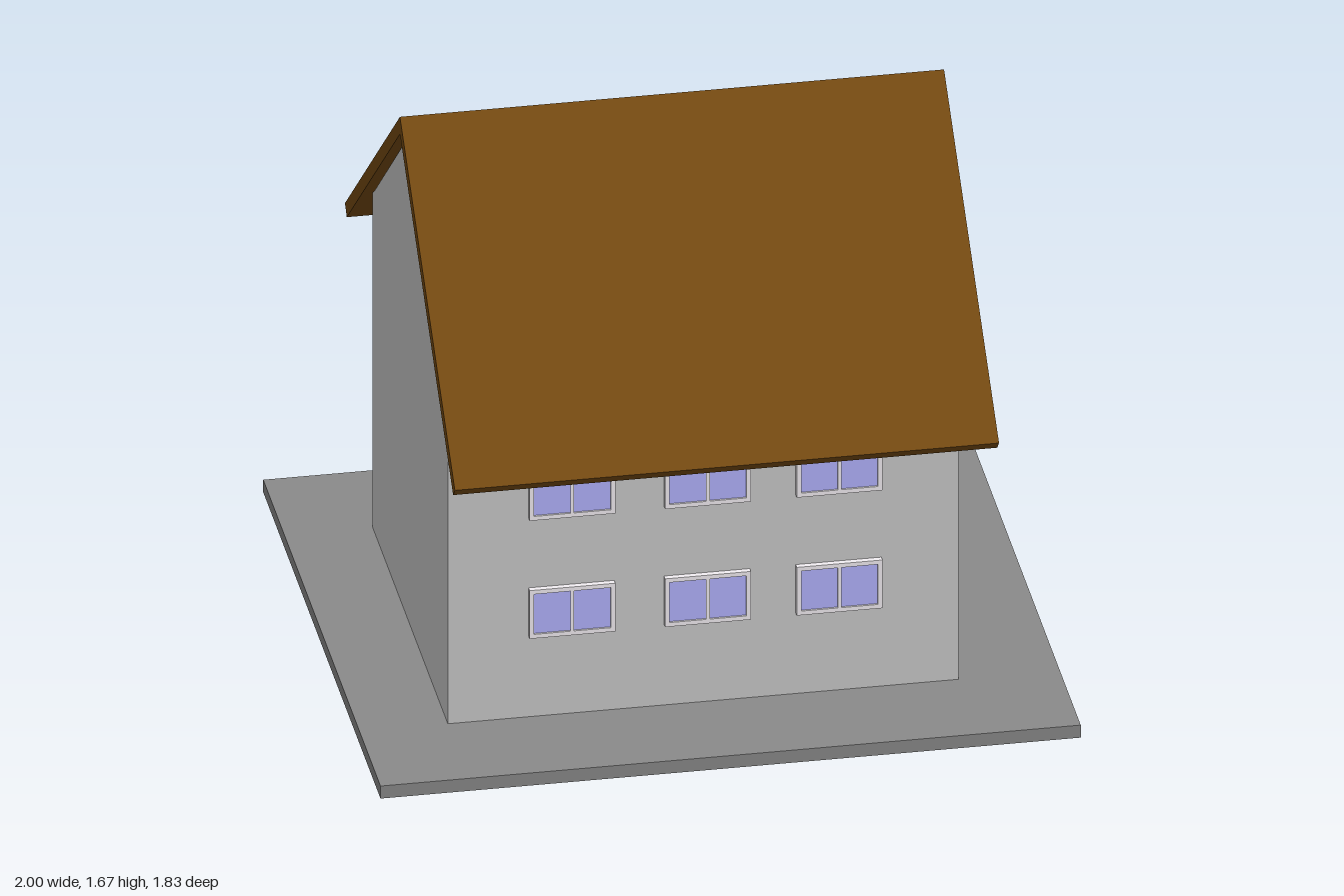
import * as THREE from 'three';

const mat = (color) => new THREE.MeshStandardMaterial({ color });

function add(parent, name, geometry, material, x = 0, y = 0, z = 0) {
  const mesh = new THREE.Mesh(geometry, material);
  mesh.name = name;
  mesh.position.set(x, y, z);
  parent.add(mesh);
  return mesh;
}

// Extrudes a [z, y] outline along x, centred on x = 0
function alongX(points, length) {
  const shape = new THREE.Shape(points.map(([z, y]) => new THREE.Vector2(z, y)));
  const geometry = new THREE.ExtrudeGeometry(shape, { depth: length, bevelEnabled: false });
  geometry.translate(0, 0, -length / 2);
  return geometry.rotateY(-Math.PI / 2);
}

// Rectangular hole for a window pane
function rectHole(x0, y0, x1, y1) {
  return new THREE.Path([[x0, y0], [x0, y1], [x1, y1], [x1, y0]].map((p) => new THREE.Vector2(...p)));
}

export function createModel() {
  const house = new THREE.Group();
  house.name = 'house';

  const wallMat = mat(0xcccccc);
  const baseMat = mat(0x8a8a8a);
  const roofMat = mat(0x764b12);
  const pipeMat = mat(0x4a4a4a);
  const frameMat = mat(0xf4f0f4);
  const glassMat = mat(0xb3b3ff);

  // Ground slab
  add(house, 'base', new THREE.BoxGeometry(2, 0.04, 1.834), baseMat, 0, 0.02, 0);

  // Gable end walls and the two long walls between them
  const gable = alongX([[0.59, 0.04], [0.59, 1.115], [0, 1.61], [-0.55, 1.137], [-0.587, 1.11], [-0.587, 0.04]], 0.036);
  add(house, 'rightGableWall', gable, wallMat, -0.73);
  add(house, 'leftGableWall', gable, wallMat, 0.692);
  const longWall = new THREE.BoxGeometry(1.386, 1.06, 0.036);
  add(house, 'frontWall', longWall, wallMat, -0.019, 0.57, 0.572);
  add(house, 'backWall', longWall, wallMat, -0.019, 0.57, -0.567);

  // Roof slabs, crossing at the ridge
  const slab = alongX([[0, 1.668], [-0.028, 1.637], [0.832, 0.903], [0.86, 0.933]], 1.554);
  add(house, 'frontRoof', slab, roofMat);
  add(house, 'backRoof', slab, roofMat).rotation.y = Math.PI;

  // Windows: a frame with two openings over a pane of glass
  const w = 0.1225, h = 0.077, rim = 0.013, bar = 0.005;
  const outline = new THREE.Shape([[-w, -h], [w, -h], [w, h], [-w, h]].map((p) => new THREE.Vector2(...p)));
  outline.holes.push(
    rectHole(-w + rim, -h + rim, -bar, h - rim),
    rectHole(bar, -h + rim, w - rim, h - rim)
  );
  const frame = new THREE.ExtrudeGeometry(outline, { depth: 0.023, bevelEnabled: false });
  const glass = new THREE.BoxGeometry(2 * w - rim, 2 * h - rim, 0.014);
  for (const side of [1, -1]) {
    for (const y of [0.375, 0.752]) {
      for (const x of [-0.395, -0.008, 0.368]) {
        const win = new THREE.Group();
        win.name = side > 0 ? 'frontWindow' : 'backWindow';
        add(win, 'windowFrame', frame, frameMat);
        add(win, 'windowGlass', glass, glassMat, 0, 0, 0.01);
        win.position.set(x, y, side * 0.584);
        if (side < 0) win.rotation.y = Math.PI;
        house.add(win);
      }
    }
  }

  // Hooked pipe on the gable: upright, half-circle bend, short outlet
  const pipe = new THREE.Group();
  pipe.name = 'pipe';
  const r = 0.027, bend = 0.121, bendY = 1.073;
  add(pipe, 'pipeUpright', new THREE.CylinderGeometry(r, r, bendY - 0.04, 24), pipeMat, 0, (bendY + 0.04) / 2, -bend);
  const arc = new THREE.TorusGeometry(bend, 0.029, 16, 32, Math.PI);
  add(pipe, 'pipeBend', arc, pipeMat, 0, bendY, 0).rotation.y = Math.PI / 2;
  add(pipe, 'pipeOutlet', new THREE.CylinderGeometry(r, r, 0.055, 24), pipeMat, 0, bendY - 0.0275, bend);
  pipe.position.set(0.73, 0, 0.033);
  house.add(pipe);

  return house;
}
